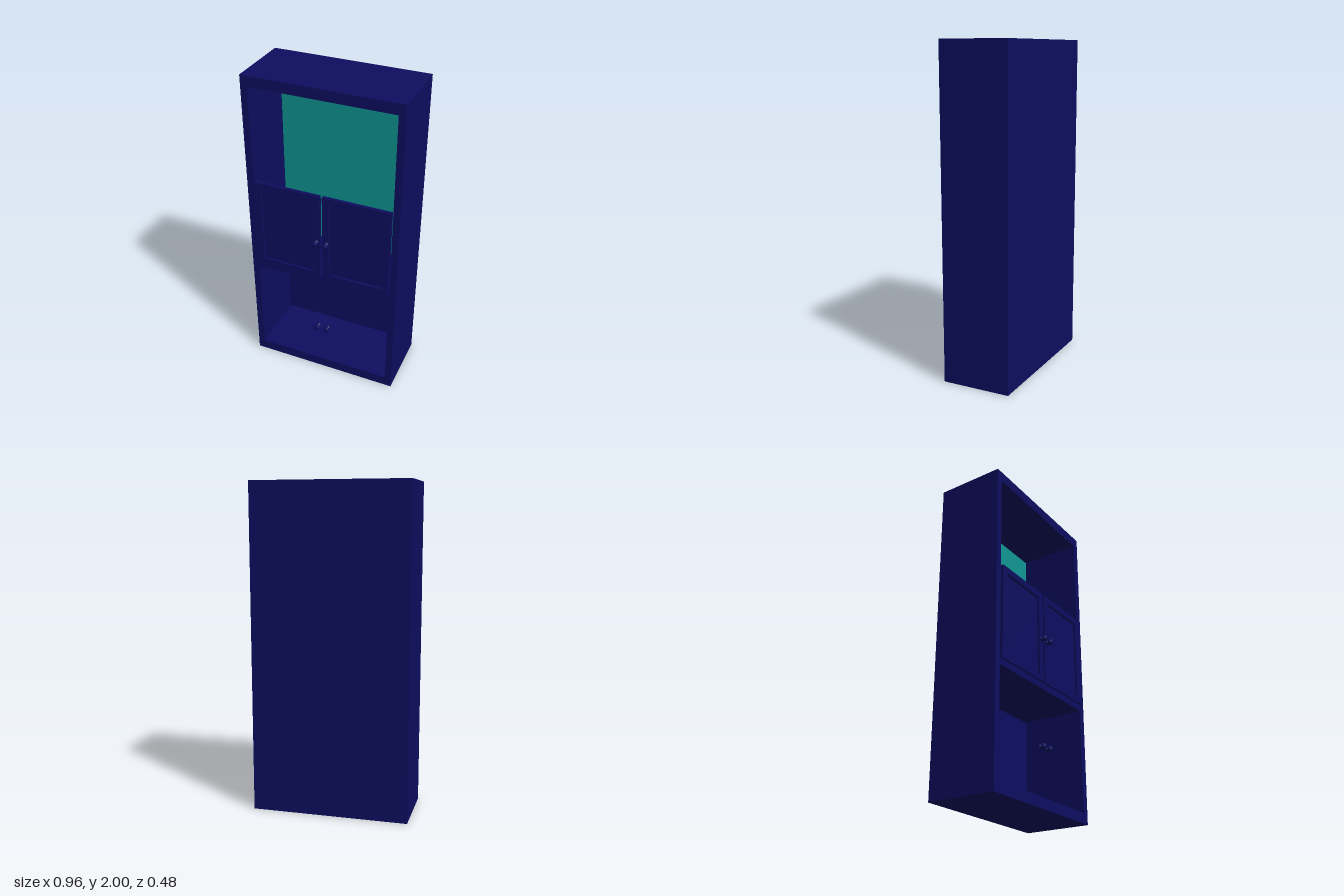
import * as THREE from 'three';

export function createModel() {
  const navy = new THREE.MeshStandardMaterial({ color: 0x0d0d60 });
  navy.name = 'navy paint';
  const teal = new THREE.MeshStandardMaterial({ color: 0x0f9794 });
  teal.name = 'teal back';

  const model = new THREE.Group();
  model.name = 'cabinet';

  const add = (name, geometry, material = navy, parent = model) => {
    const mesh = new THREE.Mesh(geometry, material);
    mesh.name = name;
    parent.add(mesh);
    return mesh;
  };

  // Rectangular hole path
  const rectPath = (x0, y0, x1, y1, Type = THREE.Path) => {
    const p = new Type();
    p.moveTo(x0, y0);
    p.lineTo(x1, y0);
    p.lineTo(x1, y1);
    p.lineTo(x0, y1);
    p.closePath();
    return p;
  };

  // Carcass: walls, top, bottom and middle rail around two open compartments
  const backZ = -0.24, innerZ = -0.22, frontZ = 0.185;
  const carcass = rectPath(-0.48, 0, 0.48, 2, THREE.Shape);
  carcass.holes.push(rectPath(-0.438, 0.065, 0.438, 0.71));
  carcass.holes.push(rectPath(-0.438, 0.75, 0.438, 1.935));
  add('carcass', new THREE.ExtrudeGeometry(carcass, { depth: frontZ - innerZ, bevelEnabled: false }))
    .position.z = innerZ;
  add('backPanel', new THREE.BoxGeometry(0.96, 2, innerZ - backZ))
    .position.set(0, 1, (innerZ + backZ) / 2);

  // Coloured lining on the back of the upper compartment
  add('upperLining', new THREE.BoxGeometry(0.876, 1.185, 0.004), teal)
    .position.set(0, 1.3425, innerZ + 0.002);

  // Turned knob, axis along z
  const knobGeometry = new THREE.LatheGeometry([
    [0, 0], [0.016, 0], [0.016, 0.006], [0.01, 0.012], [0.01, 0.017],
    [0.018, 0.024], [0.019, 0.032], [0.014, 0.038], [0, 0.042],
  ].map(([r, h]) => new THREE.Vector2(r, h)), 12);
  knobGeometry.rotateX(Math.PI / 2);
  const addKnob = (name, x, y, z) => add(name, knobGeometry).position.set(x, y, z);

  // Doors: a stile-and-rail frame with a recessed panel
  const addDoor = (name, x0, x1) => {
    const y0 = 0.75, y1 = 1.34, w = 0.042;
    const door = new THREE.Group();
    door.name = name;
    model.add(door);
    const frame = rectPath(x0, y0, x1, y1, THREE.Shape);
    frame.holes.push(rectPath(x0 + w, y0 + w, x1 - w, y1 - w));
    add('doorFrame', new THREE.ExtrudeGeometry(frame, { depth: 0.022, bevelEnabled: false }), navy, door)
      .position.z = 0.175;
    add('doorPanel', new THREE.BoxGeometry(x1 - x0 - 2 * w, y1 - y0 - 2 * w, 0.006), navy, door)
      .position.set((x0 + x1) / 2, (y0 + y1) / 2, 0.179);
  };
  addDoor('rightDoor', -0.43, -0.007);
  addDoor('leftDoor', 0.009, 0.432);

  // Knob pairs for the middle doors and the lower compartment
  for (const [side, x] of [['right', -0.029], ['left', 0.036]]) {
    addKnob(side + 'UpperKnob', x, 1.02, 0.196);
    addKnob(side + 'LowerKnob', x, 0.35, 0.178);
  }

  return model;
}
